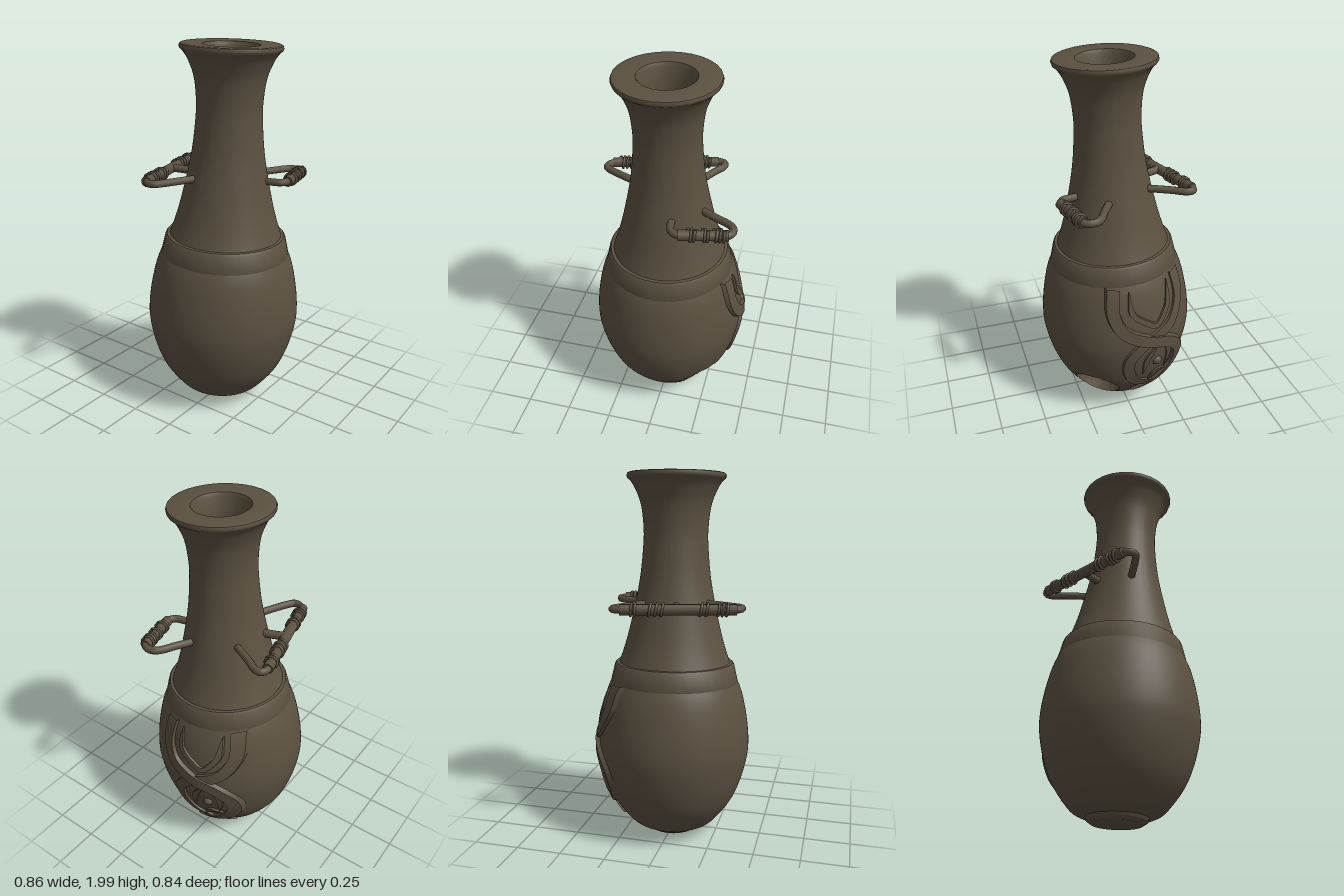
import * as THREE from 'three';
import { toCreasedNormals } from 'three/addons/utils/BufferGeometryUtils.js';

const V2 = (a) => new THREE.Vector2(a[0], a[1]);
const V3 = (x, y, z) => new THREE.Vector3(x, y, z);

// Outer profile of the vase, [radius, height]
const profile = new THREE.SplineCurve([
  [0.16, 0.04], [0.2, 0.05], [0.25, 0.085], [0.335, 0.2], [0.385, 0.32], [0.415, 0.45], [0.42, 0.55],
  [0.405, 0.68], [0.372, 0.82], [0.315, 0.95], [0.265, 1.1], [0.222, 1.28], [0.192, 1.44], [0.176, 1.6],
  [0.174, 1.7], [0.188, 1.82], [0.222, 1.91], [0.255, 1.958],
].map(V2)).getPoints(130);

function radiusAt(y) {
  const i = Math.max(1, profile.findIndex((p) => p.y >= y));
  const a = profile[i - 1], b = profile[i];
  return a.x + (b.x - a.x) * (y - a.y) / (b.y - a.y);
}

// Point standing proud of the vase on its +x side
function onSurface(z, y, lift) {
  const r = radiusAt(y) + lift, k = Math.min(Math.max(z / r, -0.99), 0.99);
  return V3(r * Math.sqrt(1 - k * k), y, r * k);
}

// Body wall with a round socket pressed into it
function bodyGeometry() {
  const geo = new THREE.LatheGeometry(profile, 144, Math.PI);
  const axis = V3(0.55, -0.6, 0.55).normalize();
  const centre = V3(0.222, 0.178, 0.188), R = 0.13, snap = 0.009;
  const pos = geo.attributes.position, p = V3(0, 0, 0);
  for (let i = 0; i < pos.count; i++) {
    p.fromBufferAttribute(pos, i).sub(centre);
    const along = p.dot(axis);
    if (along < -0.15) continue;
    const side = p.clone().addScaledVector(axis, -along), d = side.length();
    if (d > R + snap) continue;
    if (d > R - snap) p.addScaledVector(side, R / d - 1);
    else p.addScaledVector(axis, -0.14 * Math.sqrt(1 - (d / R) ** 2) - 0.01);
    p.add(centre);
    pos.setXYZ(i, p.x, p.y, p.z);
  }
  geo.deleteAttribute('normal');
  geo.deleteAttribute('uv');
  return toCreasedNormals(geo, 0.6);
}

// Raised strip following the vase surface through [z, y] points
function ribbonGeometry(points, width, height, taperStart, taperEnd) {
  const curve = new THREE.SplineCurve(points.map(V2));
  const n = points.length * 7, section = [[-1, -0.015], [-0.82, height], [0.82, height], [1, -0.015]];
  const verts = [], index = [];
  for (let i = 0; i <= n; i++) {
    const t = i / n, c = curve.getPoint(t), d = curve.getTangent(t);
    const w = (width / 2) * Math.max(0.04, Math.min(1, taperStart ? t / taperStart : 1, taperEnd ? (1 - t) / taperEnd : 1));
    for (const [s, h] of section) {
      const q = onSurface(c.x - d.y * s * w, c.y + d.x * s * w, h);
      verts.push(q.x, q.y, q.z);
    }
    if (i === n) break;
    for (let j = 0; j < 3; j++) {
      const a = i * 4 + j;
      index.push(a, a + 1, a + 4, a + 1, a + 5, a + 4);
    }
  }
  const geo = new THREE.BufferGeometry();
  geo.setAttribute('position', new THREE.Float32BufferAttribute(verts, 3));
  geo.setIndex(index);
  return toCreasedNormals(geo, 0.6);
}

export function createModel() {
  const clay = new THREE.MeshStandardMaterial({ color: 0x5b5141 });
  clay.name = 'dark clay';
  const model = new THREE.Group();
  model.name = 'vase';

  const add = (parent, name, geo) => {
    const mesh = new THREE.Mesh(geo, clay);
    mesh.name = name;
    parent.add(mesh);
    return mesh;
  };
  const lathe = (pts, seg) => {
    const geo = new THREE.LatheGeometry(pts.map(V2), seg);
    geo.deleteAttribute('normal');
    geo.deleteAttribute('uv');
    return toCreasedNormals(geo, 0.7);
  };

  // Vessel leans slightly forward
  const vessel = new THREE.Group();
  vessel.name = 'vessel';
  vessel.rotation.x = 0.036;
  vessel.position.z = -0.018;
  model.add(vessel);

  add(vessel, 'body', bodyGeometry());
  add(vessel, 'foot', lathe([[0, 0.008], [0.13, 0.008], [0.155, 0.025], [0.162, 0.05]], 24));
  add(vessel, 'collarBand', lathe(
    [[0.33, 0.868], [0.35, 0.862], [0.352, 0.872], [0.33, 0.965], [0.322, 0.975], [0.29, 0.978]], 40));
  // Lip, flat mouth ring and hollow throat
  add(vessel, 'lip', lathe([[0.25, 1.95], [0.262, 1.96], [0.266, 1.972], [0.262, 1.984], [0.252, 1.988],
    [0.148, 1.984], [0.138, 1.965], [0.132, 1.85], [0.128, 1.6], [0.12, 1.48], [0.08, 1.4], [0, 1.37]], 28));

  // Interlaced relief on the +x side
  const relief = new THREE.Group();
  relief.name = 'relief';
  vessel.add(relief);
  add(relief, 'upperStrand', ribbonGeometry([[0.11, 0.87], [0.125, 0.74], [0.08, 0.63], [-0.04, 0.555],
    [-0.18, 0.5], [-0.257, 0.4], [-0.235, 0.28], [-0.15, 0.205], [-0.07, 0.17], [0.015, 0.14]], 0.078, 0.022, 0, 0.3));
  add(relief, 'lowerStrand', ribbonGeometry([[-0.255, 0.87], [-0.268, 0.73], [-0.2, 0.605], [-0.05, 0.535],
    [0.04, 0.45], [0.05, 0.34], [0, 0.24], [-0.1, 0.19], [-0.2, 0.135]], 0.074, 0.014, 0, 0.25));
  add(relief, 'innerPoint', ribbonGeometry([[0.03, 0.85], [0.025, 0.73], [-0.05, 0.66], [-0.11, 0.63],
    [-0.16, 0.68], [-0.19, 0.74], [-0.195, 0.85]], 0.036, 0.012, 0.15, 0.15));
  const leaves = [
    [[-0.03, 0.3], [-0.055, 0.42], [-0.12, 0.51]],
    [[-0.14, 0.5], [-0.19, 0.42], [-0.17, 0.29]],
    [[-0.07, 0.22], [-0.115, 0.28], [-0.18, 0.27]],
  ];
  leaves.forEach((pts) => add(relief, 'leaf', ribbonGeometry(pts, 0.036, 0.012, 0.4, 0.4)));
  const stud = add(relief, 'stud', new THREE.SphereGeometry(0.03, 16, 12));
  stud.position.copy(onSurface(-0.115, 0.375, -0.008));

  // Bent-rod handles with cord-wrapped grips
  const tube = (pts, r) => new THREE.TubeGeometry(
    new THREE.CatmullRomCurve3(pts, false, 'centripetal'), pts.length * 10, r, 10);

  function handle(name, y, path, from, to, wraps) {
    const g = new THREE.Group();
    g.name = name;
    model.add(g);
    add(g, 'rod', tube(path.map(([x, z]) => V3(x, y, z)), 0.02));
    const a = V3(from[0], y, from[1]), b = V3(to[0], y, to[1]);
    const length = a.distanceTo(b);
    const grip = new THREE.Group();
    grip.name = 'grip';
    grip.position.copy(a).lerp(b, 0.5);
    grip.quaternion.setFromUnitVectors(V3(0, 1, 0), b.clone().sub(a).normalize());
    g.add(grip);
    add(grip, 'gripCore', new THREE.CylinderGeometry(0.028, 0.028, length, 12));
    // Each wrap is [start, end, turns] along the grip
    for (const [s, e, turns] of wraps) {
      const pts = [];
      for (let i = 0; i <= turns * 12; i++) {
        const t = i / (turns * 12), ang = t * turns * Math.PI * 2;
        pts.push(V3(0.031 * Math.cos(ang), (s + (e - s) * t - 0.5) * length, 0.031 * Math.sin(ang)));
      }
      add(grip, 'cord', new THREE.TubeGeometry(new THREE.CatmullRomCurve3(pts), turns * 16, 0.0075, 6));
    }
  }

  handle('backHandle', 1.31,
    [[0.12, -0.12], [0.19, -0.25], [0.23, -0.315], [0.228, -0.35], [0.19, -0.362], [-0.09, -0.285],
      [-0.36, -0.215], [-0.395, -0.185], [-0.395, -0.15], [-0.36, -0.125], [-0.16, -0.03]],
    [0.19, -0.36], [-0.38, -0.212],
    [[0.08, 0.14, 2], [0.22, 0.38, 3], [0.66, 0.76, 2], [0.82, 0.93, 3]]);
  add(model, 'backHandleStrut', tube([V3(-0.045, 1.31, -0.13), V3(-0.07, 1.31, -0.22), V3(-0.09, 1.315, -0.285)], 0.022));

  handle('frontHandle', 1.285,
    [[0.17, 0.08], [0.27, 0.14], [0.345, 0.18], [0.372, 0.205], [0.38, 0.245], [0.36, 0.278],
      [0.24, 0.305], [0.12, 0.328], [0.085, 0.31], [0.07, 0.27], [0.06, 0.18]],
    [0.365, 0.275], [0.12, 0.33],
    [[0.08, 0.3, 3], [0.4, 0.52, 2], [0.66, 0.8, 2]]);

  return model;
}
